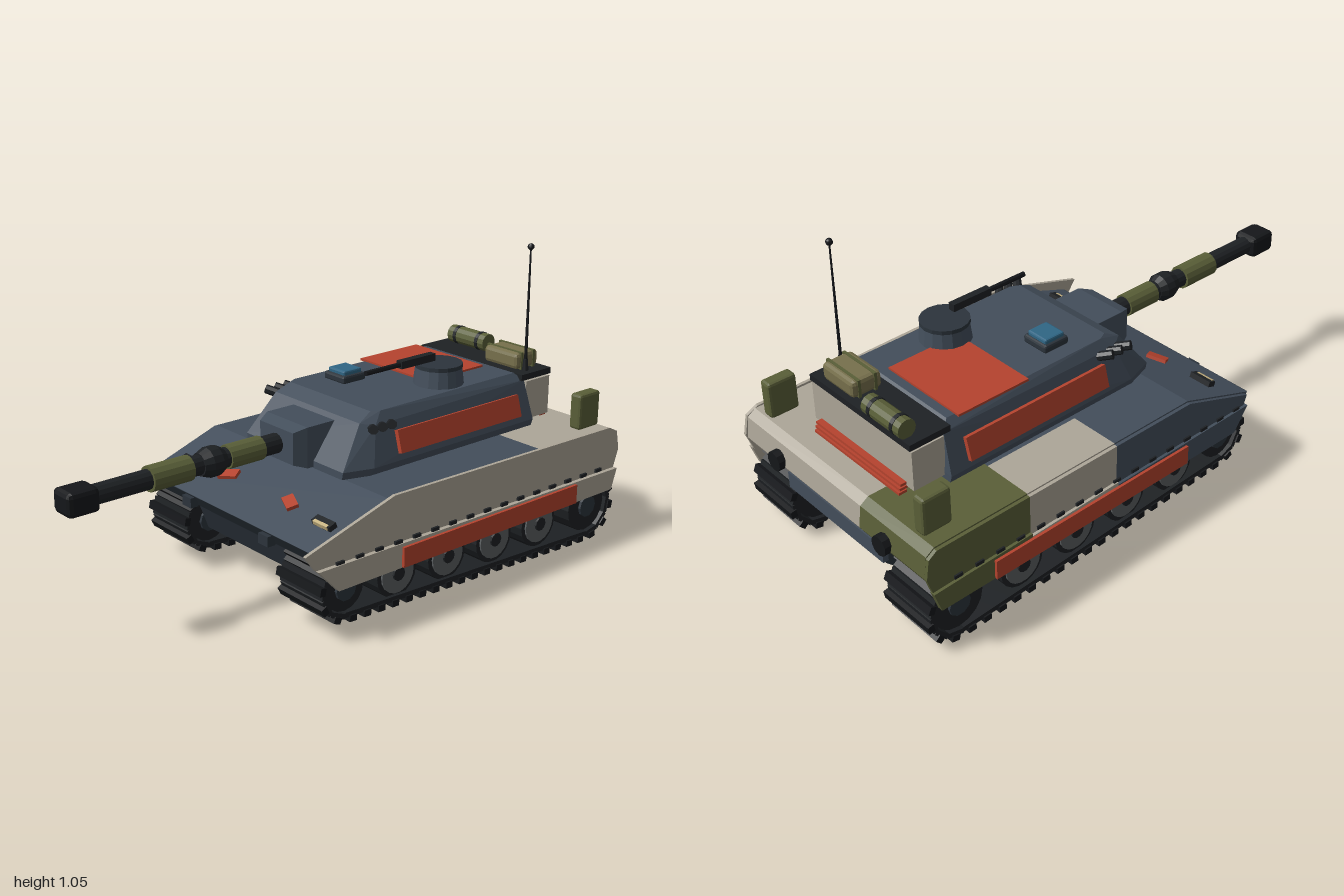
import * as THREE from 'three';
import { RoundedBoxGeometry } from 'three/addons/geometries/RoundedBoxGeometry.js';
import { ConvexGeometry } from 'three/addons/geometries/ConvexGeometry.js';

const mat = (color) => new THREE.MeshStandardMaterial({ color, flatShading: true, side: THREE.DoubleSide });

export function createModel() {
  const M = {
    blue: mat(0x434e5b), navy: mat(0x2c343c), cream: mat(0xada698), olive: mat(0x5a5f38), red: mat(0xb5432e),
    dark: mat(0x1e2124), black: mat(0x15171a), grey: mat(0x5c6062), glass: mat(0x2f6685), tan: mat(0x77704c), lamp: mat(0xc8b482),
  };
  const root = new THREE.Group();

  const add = (name, geo, m, x = 0, y = 0, z = 0, parent = root) => {
    const mesh = new THREE.Mesh(geo, m);
    mesh.name = name;
    mesh.position.set(x, y, z);
    parent.add(mesh);
    return mesh;
  };
  const box = (name, m, w, h, d, x, y, z, parent) => add(name, new THREE.BoxGeometry(w, h, d), m, x, y, z, parent);
  const soft = (name, m, w, h, d, x, y, z, r = 0.01) => add(name, new RoundedBoxGeometry(w, h, d, 1, r), m, x, y, z);
  // Side profile of [z, y] points extruded from x0 to x1
  const prism = (name, m, pts, x0, x1) => {
    const shape = new THREE.Shape(pts.map(([z, y]) => new THREE.Vector2(z, y)));
    const g = new THREE.ExtrudeGeometry(shape, { depth: x1 - x0, bevelEnabled: false });
    g.rotateY(-Math.PI / 2);
    return add(name, g, m, x1);
  };
  // Cylinder along z or x
  const rod = (name, m, r0, r1, len, x, y, z, axis = 'z', sides = 12, parent = root) => {
    const g = new THREE.CylinderGeometry(r1, r0, len, sides);
    if (axis === 'z') g.rotateX(Math.PI / 2); else if (axis === 'x') g.rotateZ(Math.PI / 2);
    return add(name, g, m, x, y, z, parent);
  };
  // Symmetric convex solid from [halfWidth, y, z] corners
  const hullOf = (name, m, pts) => add(name, new ConvexGeometry(
    pts.flatMap(([x, y, z]) => [new THREE.Vector3(x, y, z), new THREE.Vector3(-x, y, z)])), m);

  // Upper hull, split into paint patches
  const rear = [[-0.59, 0.405], [-0.94, 0.405], [-0.97, 0.385], [-0.98, 0.31], [-0.95, 0.26], [-0.59, 0.26]];
  const mid = [[-0.23, 0.405], [-0.59, 0.405], [-0.59, 0.26], [-0.23, 0.26]];
  prism('hullRearOlive', M.olive, rear, -0.46, -0.15);
  prism('hullRearCream', M.cream, rear, -0.15, 0.455);
  prism('hullMidCream', M.cream, mid, -0.46, -0.28);
  prism('hullMidBlue', M.blue, mid, -0.28, 0.455);
  prism('hullFront', M.blue, [[0.4, 0.3], [0.1, 0.405], [-0.23, 0.405], [-0.23, 0.26], [0.37, 0.26]], -0.46, 0.455);
  prism('nosePlate', M.navy, [[0.402, 0.3], [0.37, 0.3], [0.34, 0.255], [0.372, 0.255]], -0.455, 0.45);

  // Lower hull between the tracks
  prism('lowerHull', M.navy, [[0.35, 0.27], [0.3, 0.14], [-0.88, 0.14], [-0.96, 0.22], [-0.965, 0.29]], -0.245, 0.245);
  box('belly', M.black, 0.488, 0.006, 1.16, 0, 0.139, -0.29);
  box('rearBand', M.blue, 0.49, 0.06, 0.02, 0, 0.255, -0.96);

  // Side skirts: plain on the left, patched on the right
  prism('leftSkirt', M.cream, [[0.46, 0.32], [0.1, 0.425], [-0.93, 0.41], [-0.97, 0.39], [-0.985, 0.32],
    [-0.96, 0.25], [0.42, 0.265]], 0.455, 0.467);
  prism('rightSkirtRear', M.olive, [[-0.59, 0.4], [-0.94, 0.4], [-0.97, 0.38], [-0.98, 0.31], [-0.96, 0.25], [-0.59, 0.25]], -0.472, -0.46);
  prism('rightSkirtMid', M.cream, [[-0.23, 0.4], [-0.59, 0.4], [-0.59, 0.25], [-0.23, 0.25]], -0.472, -0.46);
  prism('rightSkirtFront', M.blue, [[0.385, 0.3], [0.1, 0.4], [-0.23, 0.4], [-0.23, 0.25], [0.37, 0.26]], -0.472, -0.46);
  for (const s of [-1, 1]) {
    const front = s > 0 ? 0.42 : 0.38;
    const lower = (m, a, b, a2, b2) => prism('lowerSkirt', m, [[a, 0.265], [b, 0.255], [b2, 0.18], [a2, 0.18]],
      s > 0 ? 0.463 : -0.482, s > 0 ? 0.482 : -0.463);
    if (s > 0) lower(M.cream, front, -0.965, 0.34, -0.94);
    else {
      lower(M.blue, front, -0.23, 0.32, -0.23);
      lower(M.cream, -0.23, -0.59, -0.23, -0.59);
      lower(M.olive, -0.59, -0.965, -0.59, -0.94);
    }
    box('skirtPanel', M.red, 0.012, 0.068, 0.82, s * 0.486, 0.217, -0.33);
    for (let i = 0; i < 16; i++) box('skirtClip', M.dark, 0.008, 0.012, 0.03, s * 0.474, 0.268, 0.33 - i * 0.08);
  }

  // Running gear: link belt around two end wheels with road wheels between
  const F = { z: 0.285, y: 0.16, r: 0.088 }, R = { z: -0.852, y: 0.129, r: 0.103 };
  const arc = (c, a0, a1) => Array.from({ length: 13 }, (_, i) => {
    const a = a0 + (a1 - a0) * i / 12;
    return new THREE.Vector3(0, c.y + c.r * Math.sin(a), c.z + c.r * Math.cos(a));
  });
  const loop = [...arc(F, Math.PI / 2, -Math.PI / 2), ...arc(R, -Math.PI / 2, -Math.PI * 1.5)];
  const path = new THREE.CurvePath();
  loop.forEach((p, i) => path.add(new THREE.LineCurve3(p, loop[(i + 1) % loop.length])));
  const LINKS = 48, stops = path.getSpacedPoints(LINKS * 2);
  for (const s of [-1, 1]) {
    const track = new THREE.Group();
    track.name = s > 0 ? 'leftTrack' : 'rightTrack';
    root.add(track);
    for (let i = 0; i < LINKS; i++) {
      const p = stops[i * 2], q = stops[i * 2 + 1], o = stops[(i * 2 + LINKS * 2 - 1) % (LINKS * 2)];
      const link = new THREE.Group();
      link.name = 'trackLink';
      link.position.set(s * 0.353, p.y, p.z);
      link.rotation.x = Math.atan2(-(q.y - o.y), q.z - o.z);
      box('linkPlate', M.dark, 0.205, 0.018, 0.062, 0, 0, 0, link);
      box('linkGrouser', M.black, 0.215, 0.022, 0.028, 0, 0.014, 0, link);
      track.add(link);
    }
    for (const c of [F, R]) {
      rod('endWheel', M.dark, c.r - 0.01, c.r - 0.01, 0.18, s * 0.353, c.y, c.z, 'x', 16, track);
      rod('endWheelHub', M.navy, 0.04, 0.04, 0.2, s * 0.353, c.y, c.z, 'x', 10, track);
    }
    for (let i = 0; i < 4; i++) {
      const z = 0.065 - i * 0.222, y = 0.145 - i * 0.005;
      rod('roadWheelTyre', M.dark, 0.084, 0.084, 0.18, s * 0.353, y, z, 'x', 18, track);
      rod('roadWheelDisc', M.grey, 0.068, 0.068, 0.192, s * 0.353, y, z, 'x', 18, track);
      rod('roadWheelHub', M.dark, 0.024, 0.024, 0.206, s * 0.353, y, z, 'x', 10, track);
    }
  }

  // Turret shell
  hullOf('turret', M.blue, [
    [0.245, 0.415, 0.125], [0.25, 0.44, 0.125], [0.275, 0.415, 0.03], [0.283, 0.44, 0.02],
    [0.275, 0.415, -0.73], [0.283, 0.44, -0.73], [0.215, 0.575, 0.025], [0.242, 0.565, -0.02],
    [0.205, 0.602, -0.03], [0.22, 0.602, -0.06], [0.22, 0.602, -0.69], [0.242, 0.575, -0.72]]);
  box('roofPanel', M.red, 0.34, 0.008, 0.275, -0.07, 0.605, -0.522);
  for (const s of [-1, 1]) {
    const panel = box('turretSidePanel', M.red, 0.016, 0.078, 0.57, s * 0.275, 0.502, -0.375);
    panel.rotation.z = s * 0.28;
    // Smoke launchers
    for (let i = 0; i < 3; i++) {
      const tube = rod('smokeTube', M.dark, 0.016, 0.016, 0.07, s * 0.25, 0.56, 0.0 - i * 0.04, 'z', 8);
      tube.rotation.set(-0.45, s * 0.9, 0);
    }
  }

  // Bustle, tray and stowage
  box('bustle', M.cream, 0.5, 0.14, 0.12, 0, 0.5, -0.785);
  box('bustleTray', M.dark, 0.5, 0.022, 0.15, 0, 0.587, -0.775);
  for (let i = 0; i < 3; i++) box('ventSlat', M.red, 0.43, 0.009, 0.03, 0, 0.413 + i * 0.014, -0.86 + i * 0.004);
  rod('bedroll', M.olive, 0.033, 0.033, 0.18, -0.125, 0.628, -0.83, 'x', 12);
  for (const x of [-0.18, -0.07]) rod('bedrollStrap', M.dark, 0.035, 0.035, 0.014, x, 0.628, -0.83, 'x', 12);
  soft('stowageBag', M.tan, 0.16, 0.06, 0.11, 0.122, 0.628, -0.78, 0.014);
  for (const z of [-0.81, -0.75]) box('bagStrap', M.olive, 0.164, 0.062, 0.01, 0.122, 0.629, z);

  // Cupola with machine gun
  rod('cupola', M.blue, 0.088, 0.08, 0.065, 0.125, 0.63, -0.415, 'y', 16);
  rod('cupolaHatch', M.navy, 0.083, 0.083, 0.014, 0.125, 0.667, -0.415, 'y', 16);
  box('gunReceiver', M.dark, 0.026, 0.026, 0.155, 0.125, 0.7, -0.308);
  rod('gunBarrel', M.black, 0.009, 0.009, 0.16, 0.125, 0.7, -0.16, 'z', 8);

  // Roof sight
  soft('sightBase', M.navy, 0.105, 0.03, 0.1, -0.115, 0.613, -0.2, 0.008);
  soft('sightGlass', M.glass, 0.085, 0.022, 0.08, -0.115, 0.632, -0.2, 0.006);

  // Aerial
  rod('aerialBase', M.dark, 0.012, 0.008, 0.05, 0.215, 0.615, -0.755, 'y', 8);
  rod('aerial', M.black, 0.006, 0.003, 0.42, 0.215, 0.83, -0.755, 'y', 6);
  add('aerialTip', new THREE.SphereGeometry(0.012, 8, 6), M.black, 0.215, 1.04, -0.755);

  // Mantlet and main gun
  hullOf('mantlet', M.blue, [[0.105, 0.42, 0.03], [0.105, 0.56, 0.03], [0.105, 0.42, 0.15], [0.105, 0.56, 0.15],
    [0.085, 0.435, 0.195], [0.085, 0.545, 0.195]]);
  const gun = [ // [material, rear radius, front radius, rear z, front z]
    [M.dark, 0.034, 0.032, 0.15, 0.9], [M.olive, 0.04, 0.04, 0.265, 0.4], [M.dark, 0.036, 0.05, 0.415, 0.44],
    [M.dark, 0.05, 0.05, 0.44, 0.475], [M.dark, 0.05, 0.038, 0.475, 0.505], [M.olive, 0.042, 0.042, 0.545, 0.695]];
  for (const [m, r0, r1, a, b] of gun) rod('gunSection', m, r0, r1, b - a, 0, 0.49, (a + b) / 2, 'z', 14);
  soft('muzzle', M.black, 0.096, 0.08, 0.11, 0, 0.49, 0.945, 0.016);

  // Mirrored hull fittings
  const TILT = 0.34, slopeY = (z) => 0.405 - 0.35 * (z - 0.1);
  for (const s of [-1, 1]) {
    box('headlampFrame', M.dark, 0.085, 0.022, 0.03, s * 0.353, slopeY(0.29) + 0.008, 0.29).rotation.x = TILT;
    box('headlamp', M.lamp, 0.066, 0.014, 0.012, s * 0.353, slopeY(0.29) + 0.008, 0.303).rotation.x = TILT;
    box('glacisMarker', M.red, 0.07, 0.014, 0.04, s * 0.162, slopeY(0.27) + 0.005, 0.27).rotation.set(TILT, -s * 0.45, 0);
    box('towHook', M.navy, 0.048, 0.035, 0.03, s * 0.205, 0.277, 0.4);
    soft('rearLocker', M.olive, 0.048, 0.13, 0.105, s * 0.387, 0.47, -0.883, 0.01);
    rod('exhaust', M.black, 0.034, 0.034, 0.04, s * 0.272, 0.325, -0.98, 'z', 10);
  }
  return root;
}
